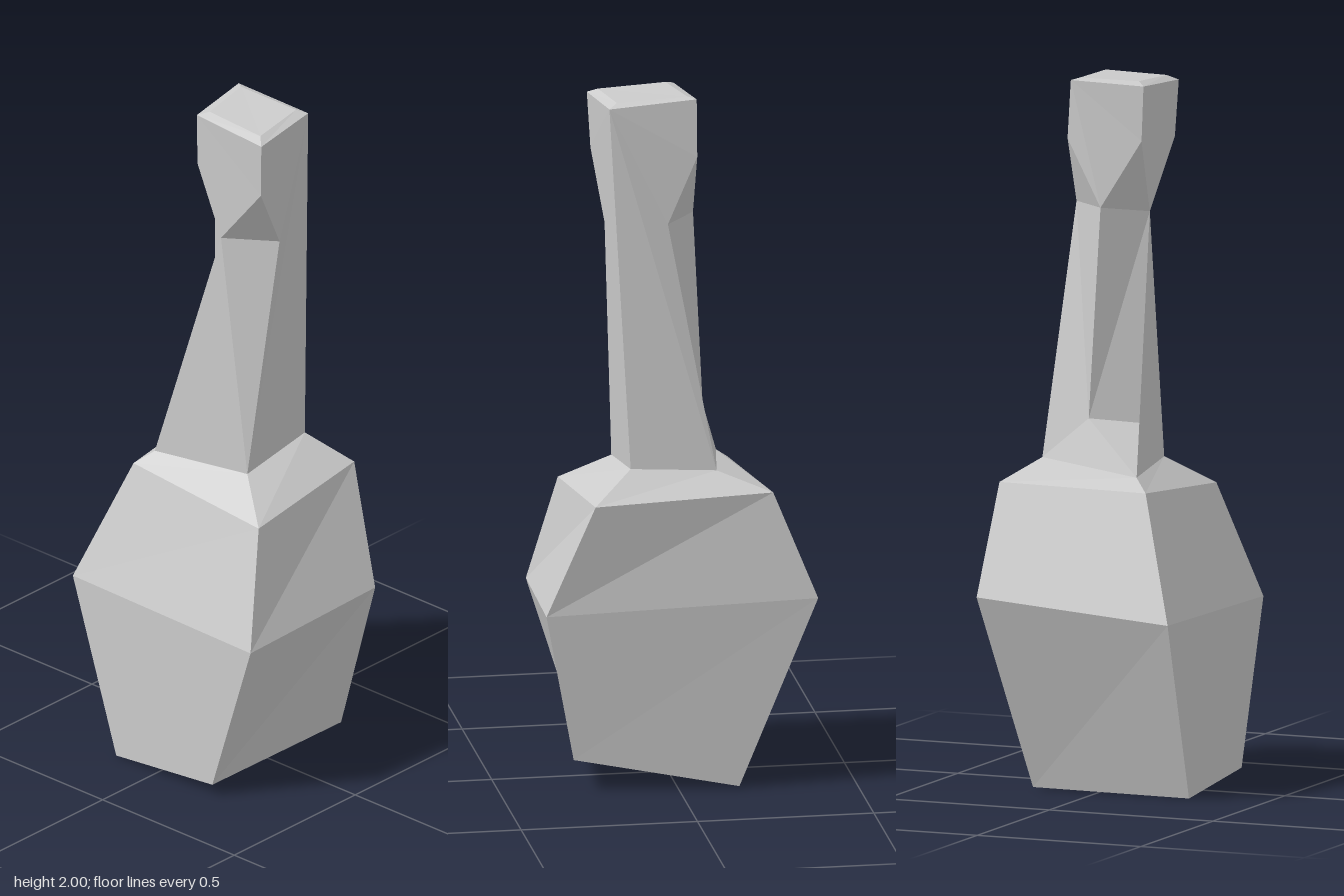
import * as THREE from 'three';

const material = new THREE.MeshStandardMaterial({ color: 0xcccccc, flatShading: true });

// Corner rings, ordered front -x, front +x, back +x, back -x
const bottom = [[-0.275, 0.035, 0.21], [0.165, 0.095, 0.295], [0.195, 0.005, -0.17], [-0.275, 0, -0.155]];
const belly = [[-0.277, 0.5, 0.357], [0.213, 0.53, 0.38], [0.275, 0.567, -0.38], [-0.28, 0.512, -0.315]];
const shoulder = [[-0.165, 0.825, 0.285], [0.268, 0.86, 0.25], [0.26, 0.877, -0.255], [-0.16, 0.862, -0.195]];
const neckBase = [[-0.065, 0.912, 0.15], [0.187, 0.943, 0.137], [0.195, 0.93, -0.105], [-0.115, 0.898, -0.155]];
const headRim = [[-0.08, 1.97, 0.217], [0.143, 1.982, 0.19], [0.128, 1.995, -0.06], [-0.08, 1.985, -0.028]];
const headTop = [[-0.055, 1.985, 0.19], [0.12, 1.993, 0.165], [0.11, 2, -0.035], [-0.055, 1.995, -0.002]];

// Mesh from convex (or fan-friendly) polygons, each fanned from its first corner
function facetMesh(name, polygons) {
  const positions = [];
  for (const p of polygons)
    for (let i = 1; i < p.length - 1; i++) positions.push(...p[0], ...p[i], ...p[i + 1]);
  const geometry = new THREE.BufferGeometry();
  geometry.setAttribute('position', new THREE.Float32BufferAttribute(positions, 3));
  geometry.computeVertexNormals();
  const mesh = new THREE.Mesh(geometry, material);
  mesh.name = name;
  return mesh;
}

// Four side faces between two rings
function band(lower, upper) {
  return lower.map((p, i) => {
    const j = (i + 1) % 4;
    return [p, lower[j], upper[j], upper[i]];
  });
}

function neckFaces() {
  const [nFL, nFR, nBR, nBL] = neckBase;
  const [tFL, tFR, tBR, tBL] = headRim;
  // Points under the head where three of the corners start to be cut away
  const aFL = [-0.072, 1.81, 0.208], aBR = [0.138, 1.83, -0.06], aBL = [-0.075, 1.83, -0.03];
  // Narrow waist below the head
  const front = [0.03, 1.62, 0.185], left = [-0.065, 1.62, 0.05];
  const back = [0.035, 1.64, -0.065], right = [0.148, 1.64, 0.025];
  // Lower end of the rear cut
  const lowBack = [0.06, 1.046, -0.09], lowSide = [-0.062, 1.03, -0.015];
  return [
    // Main sides
    [tFR, tFL, aFL, front, nFL, nFR],
    [tFR, nFR, nBR, right, aBR, tBR],
    [nBR, nBL, lowBack],
    [tBR, aBR, back, aBL, tBL],
    [tBL, aBL, left, aFL, tFL],
    [nBL, nFL, left, lowSide],
    // Cut corners
    [left, front, aFL], [nFL, front, left],
    [right, back, aBR], [right, nBR, lowBack, back],
    [back, left, aBL], [lowBack, lowSide, left, back], [nBL, lowSide, lowBack],
  ];
}

export function createModel() {
  const group = new THREE.Group();
  group.name = 'model';
  group.add(facetMesh('body', [
    [...bottom].reverse(),
    ...band(bottom, belly),
    ...band(belly, shoulder),
    ...band(shoulder, neckBase),
  ]));
  group.add(facetMesh('neck', neckFaces()));
  group.add(facetMesh('headCap', [...band(headRim, headTop), headTop]));
  return group;
}
